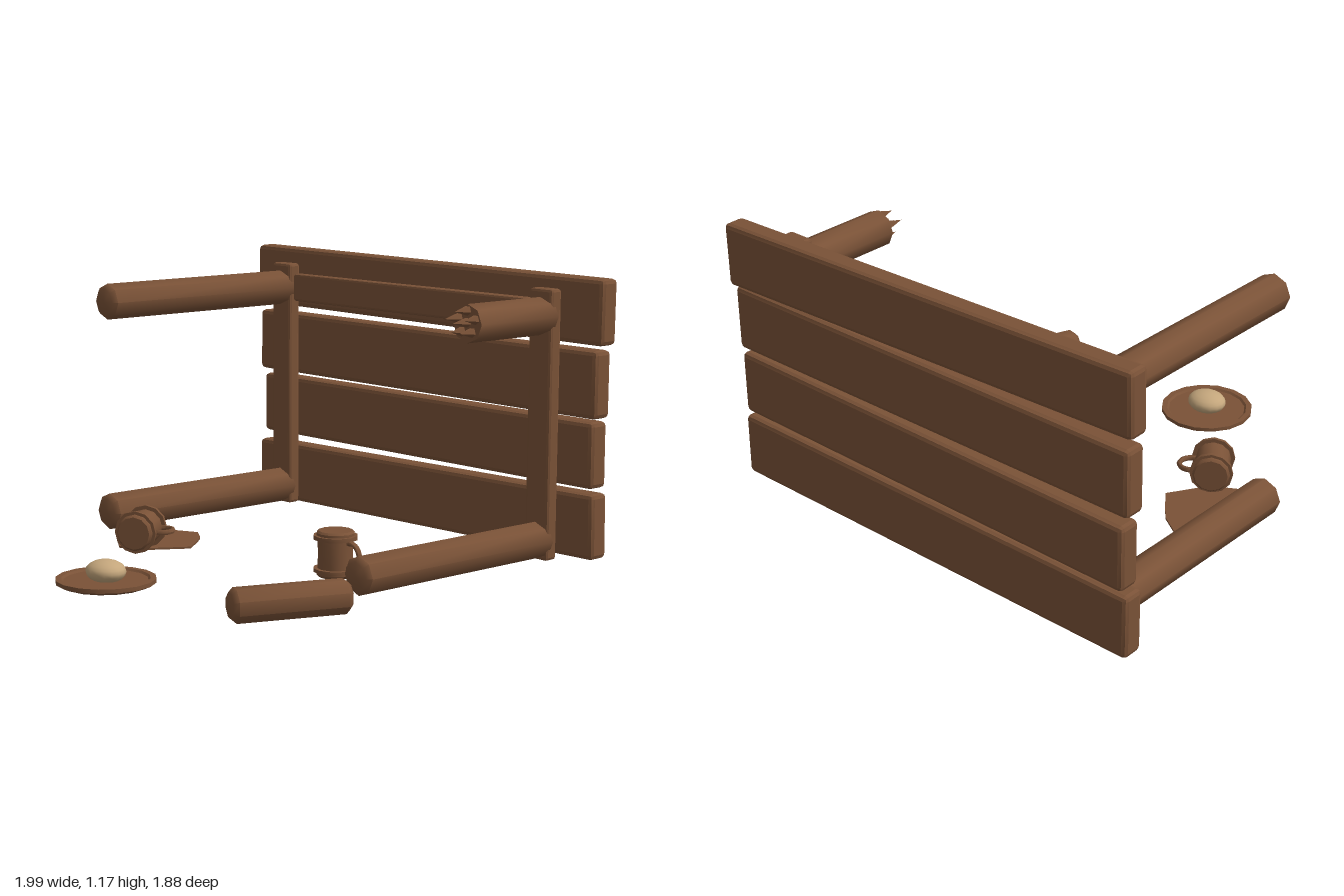
import * as THREE from 'three';
import { toCreasedNormals } from 'three/addons/utils/BufferGeometryUtils.js';
import { RoundedBoxGeometry } from 'three/addons/geometries/RoundedBoxGeometry.js';

const wood = new THREE.MeshStandardMaterial({ color: 0x7a5237 });
wood.name = 'wood brown';
const crust = new THREE.MeshStandardMaterial({ color: 0xc4a67c });
crust.name = 'bread tan';

function part(name, geometry, material = wood, crease = 0.3) {
  const mesh = new THREE.Mesh(toCreasedNormals(geometry, crease), material);
  mesh.name = name;
  return mesh;
}

// Board with softened edges
function board(name, w, h, d, x, y, z, bevel = 0.015) {
  const mesh = part(name, new RoundedBoxGeometry(w, h, d, 1, bevel));
  mesh.position.set(x, y, z);
  return mesh;
}

function turned(name, profile, sides, crease) {
  const points = profile.map(([r, y]) => new THREE.Vector2(r, y));
  return part(name, new THREE.LatheGeometry(points, sides), wood, crease);
}

// Octagonal pole between two points, with a chamfer at the far end
function pole(name, from, to, radius, startChamfer, endChamfer) {
  const length = from.distanceTo(to);
  const inner = radius * 0.74;
  const profile = [[0, 0]];
  if (startChamfer) profile.push([inner, 0], [radius, 0.018]);
  else profile.push([radius, 0]);
  if (endChamfer) profile.push([radius, length - 0.018], [inner, length]);
  else profile.push([radius, length]);
  profile.push([0, length]);
  const mesh = turned(name, profile, 8, 0.85);
  mesh.position.copy(from);
  mesh.quaternion.setFromUnitVectors(new THREE.Vector3(0, 1, 0), to.clone().sub(from).normalize());
  return mesh;
}

// Tankard standing on its base, handle towards +x
function tankard(name) {
  const mug = new THREE.Group();
  mug.name = name;
  mug.add(turned('mugBody', [
    [0, 0], [0.067, 0], [0.075, 0.01], [0.075, 0.02], [0.088, 0.02], [0.088, 0.034],
    [0.072, 0.034], [0.07, 0.09], [0.072, 0.148], [0.088, 0.148], [0.088, 0.164],
    [0.076, 0.164], [0.076, 0.174], [0.068, 0.182], [0, 0.182],
  ], 12, 0.6));
  const handle = part('mugHandle', new THREE.TorusGeometry(0.048, 0.011, 6, 14, Math.PI * 1.2), wood, 1.2);
  handle.rotation.z = -Math.PI * 0.6;
  handle.position.set(0.086, 0.095, 0);
  mug.add(handle);
  return mug;
}

export function createModel() {
  const model = new THREE.Group();
  model.name = 'overturnedTable';
  const v = (x, y, z) => new THREE.Vector3(x, y, z);

  // Table top, tipped on its edge: width, height, x, y, z, turn about y, turn about z
  [
    [1.99, 0.26, 0, 1.033, -0.88, 0.02, -0.012],
    [1.985, 0.268, 0, 0.743, -0.872, 0, -0.002],
    [1.965, 0.264, -0.005, 0.457, -0.885, -0.008, 0.004],
    [1.97, 0.262, 0, 0.165, -0.872, 0.008, 0.012],
  ].forEach(([w, h, x, y, z, ry, rz]) => {
    const plank = board('tablePlank', w, h, 0.092, x, y, z, 0.018);
    plank.rotation.set(0, ry, rz);
    model.add(plank);
  });

  // Battens and stretcher behind the legs
  for (const x of [-0.77, 0.765]) model.add(board('batten', 0.118, 1.08, 0.06, x, 0.568, -0.785, 0.012));
  model.add(board('stretcher', 1.38, 0.12, 0.05, 0, 1.005, -0.782, 0.01));

  // Three whole legs and one snapped leg
  model.add(pole('tableLeg', v(-0.775, 1.0, -0.78), v(-0.775, 1.0, 0.218), 0.075, false, true));
  model.add(pole('tableLeg', v(-0.775, 0.105, -0.78), v(-0.775, 0.11, 0.218), 0.077, false, true));
  model.add(pole('tableLeg', v(0.762, 0.105, -0.78), v(0.758, 0.108, 0.218), 0.075, false, true));
  model.add(pole('snappedLeg', v(0.765, 1.0, -0.78), v(0.762, 1.0, -0.35), 0.075, false, false));

  // Splinters on the snapped leg
  for (let i = 0; i < 6; i++) {
    const angle = i * Math.PI * 2 / 5 + 0.3;
    const ring = i < 5 ? 0.045 : 0;
    const length = 0.06 + 0.01 * (i % 3);
    const spike = part('splinter', new THREE.ConeGeometry(0.02, length, 5));
    spike.rotation.x = Math.PI / 2;
    spike.position.set(0.762 + Math.cos(angle) * ring, 1.005 + Math.sin(angle) * ring, -0.35 + length / 2);
    model.add(spike);
  }

  // Broken piece on the ground
  model.add(pole('brokenLegPiece', v(0.85, 0.074, 0.335), v(0.685, 0.074, 0.757), 0.066, true, true));

  // Plate and bread
  const plate = turned('plate', [
    [0, 0.005], [0.165, 0.005], [0.195, 0.018], [0.195, 0.034], [0.172, 0.034], [0.164, 0.026], [0, 0.026],
  ], 16, 0.5);
  plate.position.set(-0.08, 0, 0.735);
  model.add(plate);
  const bread = part('bread', new THREE.SphereGeometry(1, 16, 10), crust, 1.2);
  bread.scale.set(0.085, 0.045, 0.075);
  bread.position.set(-0.08, 0.06, 0.735);
  model.add(bread);

  // Standing mug
  const standing = tankard('standingMug');
  standing.position.set(0.38, 0.004, -0.032);
  model.add(standing);

  // Fallen mug, mouth towards the spill
  const fallen = tankard('fallenMug');
  const mouth = v(-0.55, 0, -0.835).normalize();
  const side = v(0.835, 0, -0.55).normalize();
  fallen.quaternion.setFromRotationMatrix(
    new THREE.Matrix4().makeBasis(side, mouth, side.clone().cross(mouth)));
  fallen.position.set(-0.462, 0.095, 0.275).addScaledVector(mouth, -0.091);
  model.add(fallen);

  // Spilled drink
  const outline = [
    [-0.57, -0.11], [-0.66, -0.065], [-0.72, 0.02], [-0.78, 0.1], [-0.7, 0.22],
    [-0.57, 0.305], [-0.47, 0.25], [-0.37, 0.09], [-0.43, 0.01], [-0.485, -0.055],
  ].map(([x, z]) => new THREE.Vector2(x, -z));
  const spill = part('spill', new THREE.ExtrudeGeometry(new THREE.Shape(outline), { depth: 0.008, bevelEnabled: false }));
  spill.rotation.x = -Math.PI / 2;
  spill.position.y = 0.002;
  model.add(spill);

  return model;
}
